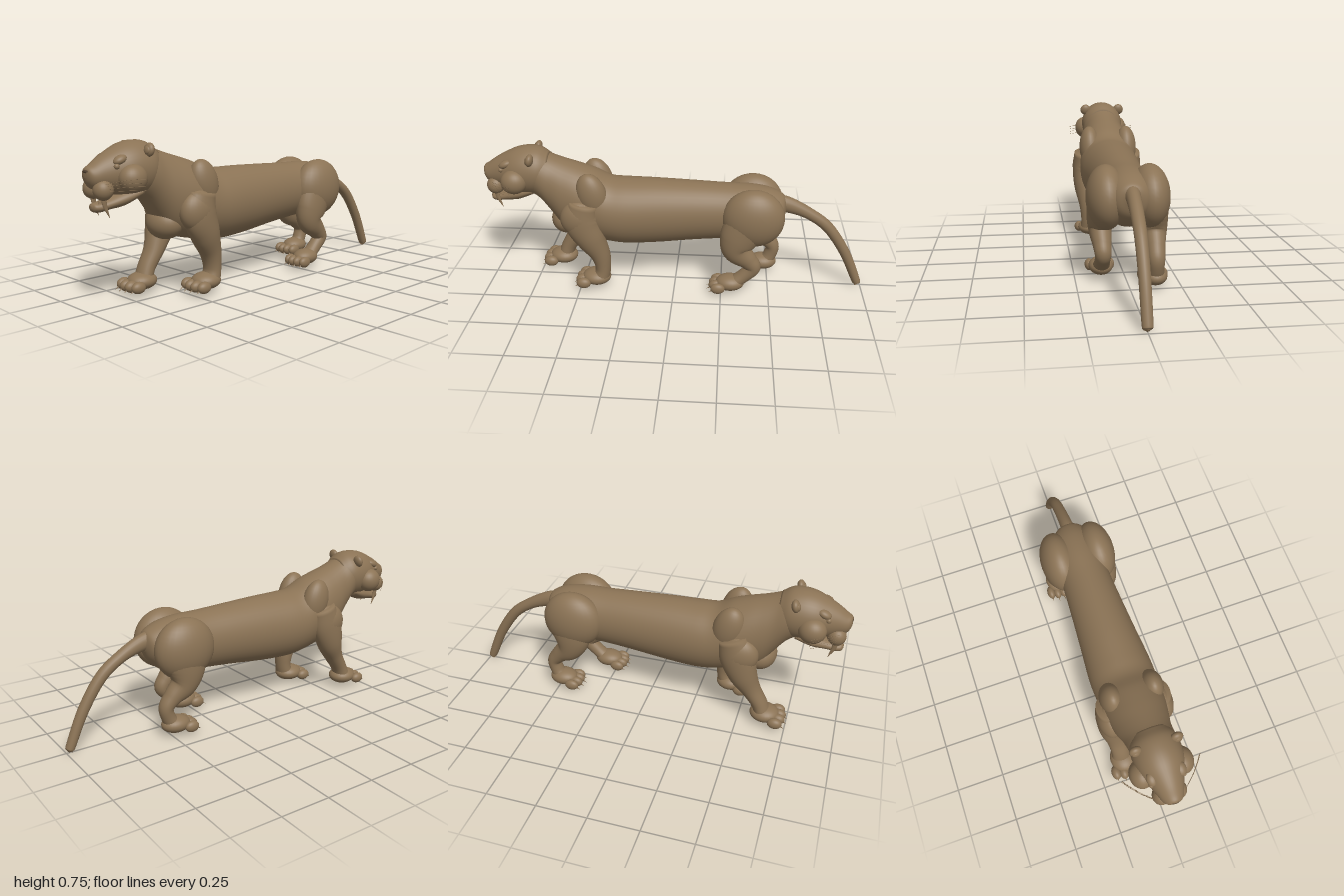
import * as THREE from 'three';

const fur = new THREE.MeshStandardMaterial({ name: 'brown fur', color: 0x8b7355 });
const dark = new THREE.MeshStandardMaterial({ name: 'dark nose', color: 0x594836 });

const V = (x, y, z) => new THREE.Vector3(x, y, z);

function add(parent, name, geometry, material = fur) {
  const mesh = new THREE.Mesh(geometry, material);
  mesh.name = name;
  parent.add(mesh);
  return mesh;
}

// Smooth skin over [x, y, z, half width, half depth] stations; rings stay upright when asked
function loft(stations, upright = false, sides = 28, steps = 6) {
  const path = new THREE.CatmullRomCurve3(stations.map(s => V(s[0], s[1], s[2])), false, 'catmullrom', 0.5);
  const size = new THREE.CatmullRomCurve3(stations.map(s => V(s[3], s[4], 0)), false, 'catmullrom', 0.5);
  const rows = (stations.length - 1) * steps;
  const pos = [], index = [];
  for (let i = 0; i <= rows; i++) {
    const c = path.getPoint(i / rows), r = size.getPoint(i / rows);
    const t = upright ? V(0, 0, 1) : path.getTangent(i / rows).setX(0).normalize();
    const n = t.cross(V(1, 0, 0));
    for (let j = 0; j < sides; j++) {
      const a = j / sides * Math.PI * 2;
      const k = r.y * Math.sin(a);
      pos.push(c.x + r.x * Math.cos(a), c.y + n.y * k, c.z + n.z * k);
      if (i < rows) {
        const p = i * sides + j, q = i * sides + (j + 1) % sides;
        index.push(p, q, p + sides, q, q + sides, p + sides);
      }
    }
  }
  // End caps
  const first = pos.length / 3, last = rows * sides;
  pos.push(...path.getPoint(0).toArray(), ...path.getPoint(1).toArray());
  for (let j = 0; j < sides; j++) {
    const k = (j + 1) % sides;
    index.push(first, k, j, first + 1, last + j, last + k);
  }
  const g = new THREE.BufferGeometry();
  g.setAttribute('position', new THREE.Float32BufferAttribute(pos, 3));
  g.setIndex(index);
  g.computeVertexNormals();
  return g;
}

// Upright skin from [z, bottom, top, half width]
const trunk = rows => loft(rows.map(([z, b, t, w]) => [0, (b + t) / 2, z, w, (t - b) / 2]), true, 40);

function ball(parent, name, at, radii, tilt = 0, material = fur) {
  const m = add(parent, name, new THREE.SphereGeometry(1, 28, 20), material);
  m.position.set(...at);
  m.scale.set(...radii);
  m.rotation.x = tilt;
  return m;
}

function paw(parent, name, x, z, w) {
  const g = new THREE.Group();
  g.name = name;
  g.position.set(x, 0, z);
  parent.add(g);
  ball(g, 'pad', [0, 0.062, 0], [0.06 * w, 0.043, 0.076]);
  for (let i = 0; i < 4; i++) {
    const tx = (i - 1.5) * 0.035 * w, tz = 0.078 - Math.abs(i - 1.5) * 0.01;
    ball(g, 'toe', [tx, 0.048, tz], [0.022 * w, 0.029, 0.038]);
    const claw = add(g, 'claw', new THREE.ConeGeometry(0.006, 0.032, 8));
    claw.position.set(tx, 0.033, tz + 0.036);
    claw.rotation.x = 2.1;
  }
}

export function createModel() {
  const cat = new THREE.Group();
  cat.name = 'sabre toothed cat';

  // Trunk, chest and neck
  add(cat, 'body', trunk([
    [-0.575, 0.43, 0.5, 0.03], [-0.55, 0.37, 0.53, 0.08], [-0.48, 0.31, 0.56, 0.12],
    [-0.38, 0.285, 0.575, 0.13], [-0.25, 0.275, 0.577, 0.13], [-0.1, 0.262, 0.583, 0.138],
    [0.1, 0.24, 0.59, 0.152], [0.25, 0.232, 0.592, 0.164], [0.34, 0.24, 0.598, 0.165],
    [0.42, 0.255, 0.637, 0.16], [0.5, 0.275, 0.665, 0.153], [0.58, 0.31, 0.69, 0.138],
    [0.64, 0.39, 0.712, 0.122], [0.7, 0.47, 0.74, 0.115], [0.76, 0.51, 0.745, 0.1]]));
  ball(cat, 'chest', [0, 0.355, 0.575], [0.1, 0.08, 0.085]);

  // Tail
  add(cat, 'tail', loft([
    [0, 0.48, -0.5, 0.045, 0.05], [0, 0.47, -0.58, 0.035, 0.043], [0, 0.425, -0.69, 0.031, 0.031],
    [0, 0.345, -0.8, 0.029, 0.029], [0, 0.2, -0.9, 0.027, 0.027], [0, 0.04, -0.973, 0.025, 0.023],
    [0, 0.018, -0.982, 0.02, 0.018], [0, 0.006, -0.987, 0.004, 0.004]], false, 20));

  // Head
  const head = new THREE.Group();
  head.name = 'head';
  cat.add(head);
  add(head, 'skull', trunk([
    [0.65, 0.53, 0.72, 0.09], [0.7, 0.505, 0.75, 0.115], [0.76, 0.5, 0.756, 0.12],
    [0.82, 0.505, 0.745, 0.112], [0.88, 0.525, 0.718, 0.088], [0.93, 0.54, 0.69, 0.068],
    [0.97, 0.555, 0.662, 0.052], [0.99, 0.58, 0.65, 0.036], [0.998, 0.605, 0.64, 0.015]]));
  add(head, 'lower jaw', trunk([
    [0.74, 0.5, 0.56, 0.08], [0.82, 0.465, 0.54, 0.07], [0.89, 0.455, 0.51, 0.05],
    [0.94, 0.447, 0.495, 0.038], [0.965, 0.452, 0.49, 0.028], [0.975, 0.465, 0.48, 0.008]]));
  ball(head, 'nose', [0, 0.632, 0.986], [0.026, 0.012, 0.015], 0, dark);

  for (const s of [-1, 1]) {
    ball(head, 'cheek', [s * 0.1, 0.595, 0.82], [0.058, 0.064, 0.068]);
    ball(head, 'muzzle', [s * 0.04, 0.55, 0.935], [0.045, 0.047, 0.046]);
    ball(head, 'brow', [s * 0.07, 0.678, 0.865], [0.026, 0.02, 0.035], 0.4);
    ball(head, 'eye', [s * 0.079, 0.651, 0.888], [0.013, 0.013, 0.013]);
    ball(head, 'ear', [s * 0.1, 0.715, 0.73], [0.031, 0.032, 0.02], -0.2);
    ball(head, 'ear hollow', [s * 0.102, 0.714, 0.743], [0.02, 0.02, 0.011], -0.2);
    // Sabre teeth and small teeth
    add(head, 'sabre tooth', loft([
      [s * 0.042, 0.53, 0.937, 0.009, 0.013], [s * 0.043, 0.48, 0.93, 0.006, 0.011],
      [s * 0.044, 0.425, 0.908, 0.001, 0.001]], false, 12));
    for (let i = 0; i < 2; i++) {
      const tooth = add(head, 'small tooth', new THREE.ConeGeometry(0.004, 0.025, 8));
      tooth.position.set(s * (0.026 + i * 0.007), 0.5, 0.95 - i * 0.008);
    }
    // Whiskers
    for (let i = 0; i < 4; i++) {
      const y = 0.553 + i * 0.016;
      const curve = new THREE.QuadraticBezierCurve3(
        V(s * 0.07, 0.545 + i * 0.01, 0.95), V(s * 0.14, y, 0.9), V(s * 0.195, y, 0.82));
      add(head, 'whisker', new THREE.TubeGeometry(curve, 8, 0.0007, 4));
    }

    // Shoulder blades, shoulders and haunches
    ball(cat, 'shoulder blade', [s * 0.105, 0.535, 0.42], [0.058, 0.12, 0.078], 0.25);
    ball(cat, 'shoulder', [s * 0.136, 0.415, 0.485], [0.064, 0.1, 0.1]);
    ball(cat, 'haunch', [s * 0.105, 0.435, -0.405], [0.096, 0.155, 0.16]);
  }

  // Front legs, the right one stepping forward
  add(cat, 'left front leg', loft([
    [0.14, 0.5, 0.46, 0.05, 0.07], [0.14, 0.4, 0.475, 0.06, 0.09], [0.13, 0.3, 0.435, 0.064, 0.077],
    [0.115, 0.2, 0.39, 0.055, 0.053], [0.112, 0.12, 0.378, 0.049, 0.041], [0.112, 0.06, 0.39, 0.054, 0.045]]));
  paw(cat, 'left front paw', 0.108, 0.415, 1.15);
  add(cat, 'right front leg', loft([
    [-0.14, 0.5, 0.45, 0.05, 0.07], [-0.14, 0.4, 0.48, 0.06, 0.09], [-0.13, 0.29, 0.515, 0.064, 0.073],
    [-0.115, 0.2, 0.56, 0.055, 0.049], [-0.112, 0.125, 0.605, 0.049, 0.041], [-0.112, 0.06, 0.63, 0.054, 0.042]]));
  paw(cat, 'right front paw', -0.108, 0.638, 1.15);

  // Hind legs, the left one stepping forward
  add(cat, 'left hind leg', loft([
    [0.12, 0.42, -0.38, 0.07, 0.12], [0.125, 0.33, -0.335, 0.066, 0.1], [0.125, 0.26, -0.325, 0.058, 0.074],
    [0.122, 0.2, -0.385, 0.046, 0.05], [0.12, 0.155, -0.415, 0.04, 0.04],
    [0.12, 0.105, -0.37, 0.038, 0.036], [0.12, 0.06, -0.315, 0.045, 0.035]]));
  paw(cat, 'left hind paw', 0.12, -0.297, 1);
  add(cat, 'right hind leg', loft([
    [-0.12, 0.42, -0.42, 0.07, 0.12], [-0.125, 0.33, -0.41, 0.066, 0.1], [-0.125, 0.26, -0.43, 0.058, 0.072],
    [-0.122, 0.21, -0.485, 0.046, 0.048], [-0.12, 0.16, -0.525, 0.04, 0.037],
    [-0.12, 0.105, -0.515, 0.038, 0.036], [-0.12, 0.06, -0.49, 0.045, 0.038]]));
  paw(cat, 'right hind paw', -0.12, -0.475, 1);

  return cat;
}
